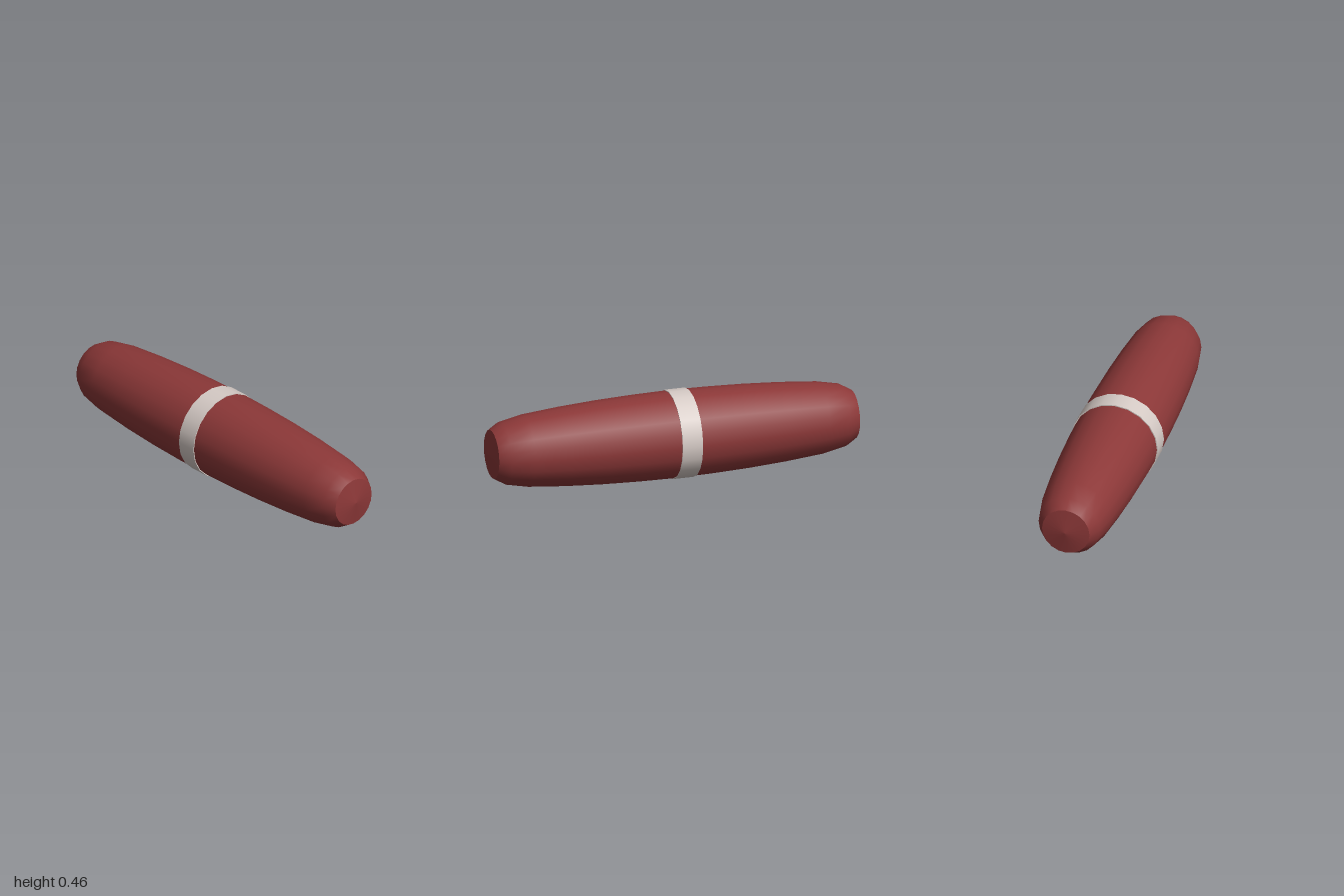
import * as THREE from 'three';

const SIDES = 20;
const RADIUS = 0.232;

// Surface of revolution about the x axis; profile is [x, radius] from -x to +x.
function turned(name, profile, material) {
  const points = profile.map(([x, r]) => new THREE.Vector2(r, x));
  const geometry = new THREE.LatheGeometry(points, SIDES);
  geometry.rotateZ(-Math.PI / 2);
  const mesh = new THREE.Mesh(geometry, material);
  mesh.name = name;
  mesh.position.y = RADIUS;
  return mesh;
}

export function createModel() {
  const red = new THREE.MeshStandardMaterial({ color: 0x8c3838 });
  const pale = new THREE.MeshStandardMaterial({ color: 0xd6cbc6 });
  const group = new THREE.Group();
  group.name = 'bandedRoll';

  // Barrel-shaped body, mirrored about the middle
  const half = [
    [0.2, 0.225], [0.4, 0.218], [0.6, 0.206],
    [0.8, 0.188], [0.92, 0.164], [0.98, 0.128],
  ];
  const mirrored = half.map(([x, r]) => [-x, r]).reverse();
  group.add(turned('body', [...mirrored, [0, 0.228], ...half], red));

  // Shallow domed end caps with a sharp rim
  group.add(turned('leftCap', [[0.98, 0.128], [1, 0]], red));
  group.add(turned('rightCap', [[-1, 0], [-0.98, 0.128]], red));

  // Band just off the middle: outer sleeve and two thin rims
  const x0 = -0.093, x1 = 0.017, inner = 0.222;
  group.add(turned('band', [[x0, RADIUS], [x1, RADIUS]], pale));
  group.add(turned('bandLeftRim', [[x1, RADIUS], [x1, inner]], pale));
  group.add(turned('bandRightRim', [[x0, inner], [x0, RADIUS]], pale));

  return group;
}
